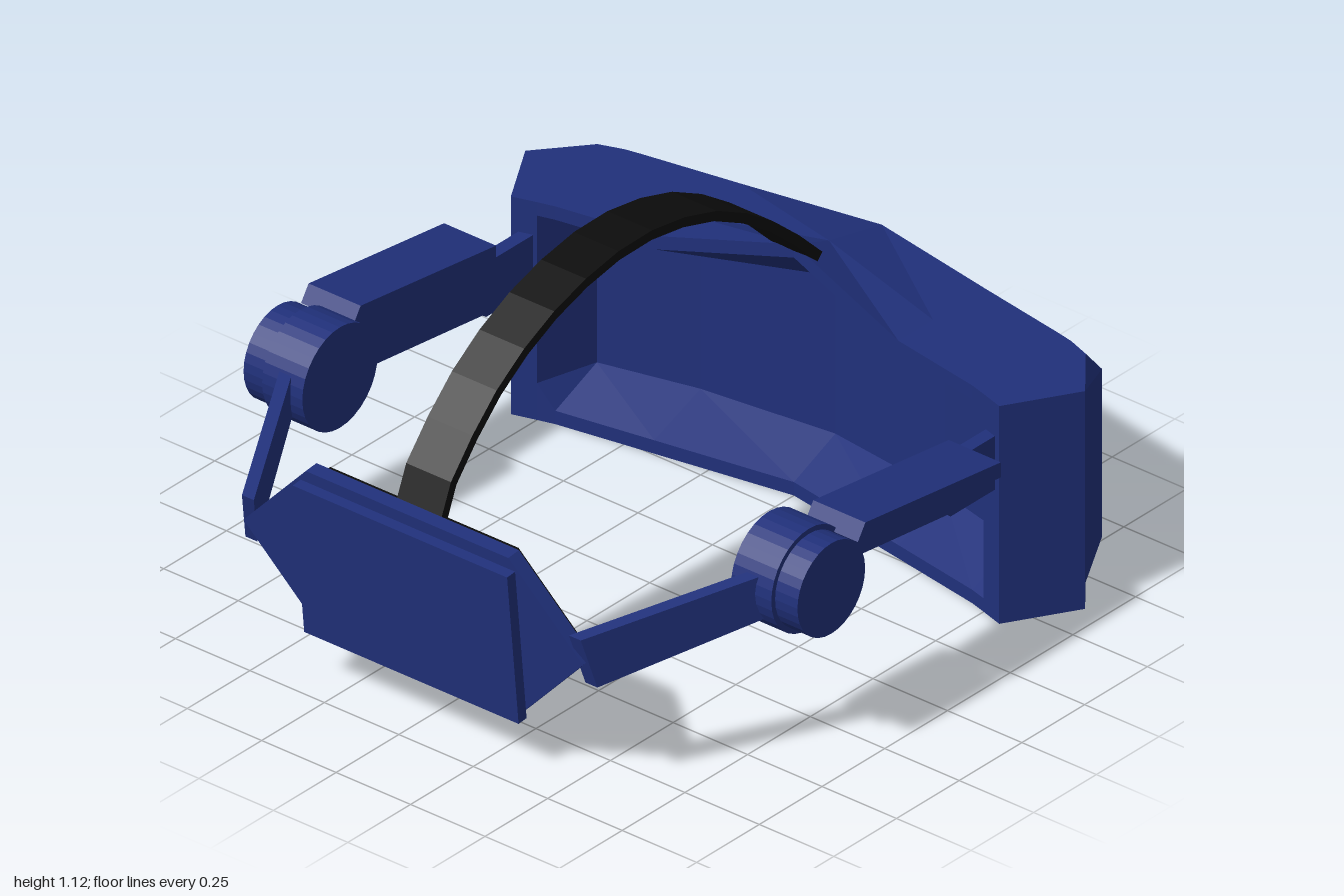
import * as THREE from 'three';

const material = (color) => new THREE.MeshStandardMaterial({ color, flatShading: true });

// Skin cross-sections (each counter-clockwise seen from +z, ordered by rising z).
function loft(sections) {
  const pos = [];
  const tri = (a, b, c) => pos.push(...a, ...b, ...c);
  const n = sections[0].length;
  for (let s = 0; s < sections.length - 1; s++) {
    for (let j = 0; j < n; j++) {
      const k = (j + 1) % n, p = sections[s], q = sections[s + 1];
      tri(p[j], p[k], q[k]);
      tri(p[j], q[k], q[j]);
    }
  }
  return finish(pos);
}

function finish(pos) {
  const g = new THREE.BufferGeometry();
  g.setAttribute('position', new THREE.Float32BufferAttribute(pos, 3));
  g.computeVertexNormals();
  return g;
}

// Flat outline extruded along z from z0 to z1.
function slab(points, z0, z1) {
  const shape = new THREE.Shape(points.map(([x, y]) => new THREE.Vector2(x, y)));
  return new THREE.ExtrudeGeometry(shape, { depth: z1 - z0, bevelEnabled: false }).translate(0, 0, z0);
}

export function createModel() {
  const model = new THREE.Group();
  const blue = material(0x20307a), green = material(0x5cb04f), black = material(0x0c0c0c);
  const add = (name, geometry, mat, parent = model) => {
    const mesh = new THREE.Mesh(geometry, mat);
    mesh.name = name;
    parent.add(mesh);
    return mesh;
  };

  // Visor shell: z, rear x, front x, bevelled front x, cavity floor x, crown height
  const half = [
    [0, 0.575, 0.995, 0.925, 0.74, 0.1],
    [0.41, 0.505, 0.918, 0.85, 0.69, 0],
    [0.7, 0.455, 0.863, 0.8, 0.62, 0],
    [0.75, 0.441, 0.853, 0.79, 0.441, 0],
    [0.82, 0.42, 0.83, 0.765, 0.42, 0],
    [0.94, 0.62, 0.62, 0.62, 0.62, 0],
  ];
  const mirrored = half.slice(1).reverse().map(([z, ...rest]) => [-z, ...rest]);
  const shell = [...mirrored, ...half].map(([z, rear, front, bevel, floor, crown]) => [
    [rear, 0], [bevel, 0], [front, 0.075], [front, 0.575], [bevel, 0.65],
    [rear + 0.4 * (bevel - rear), 0.65 + 0.48 * crown], [rear, 0.65 + crown],
    [rear, 0.61 + crown], [floor, 0.54 + 0.4 * crown], [floor, 0.11], [rear, 0.04],
  ].map(([x, y]) => [x, y, z]));
  add('visorShell', loft(shell), blue);

  // Bent strips following the V of the visor front: half width, y ranges at end and centre
  const faceX = (z) => 0.995 - 0.189 * Math.abs(z);
  const frontStrip = (w, end, mid, proud) => loft([[-w, end], [0, mid], [w, end]].map(([z, [lo, hi]]) => {
    const x1 = faceX(z) + proud, x0 = x1 - 0.02;
    return [[x0, lo, z], [x1, lo, z], [x1, hi, z], [x0, hi, z]];
  }));
  add('frontPanel', frontStrip(0.71, [0.09, 0.565], [0.09, 0.565], 0.004), blue);
  add('frontChevron', frontStrip(0.64, [0.475, 0.505], [0.29, 0.38], 0.007), green);

  // Side arms and hinges
  for (const s of [1, -1]) {
    const arm = new THREE.Group();
    arm.name = s > 0 ? 'armPositiveZ' : 'armNegativeZ';
    model.add(arm);
    const side = (points, a, b) => slab(points, Math.min(s * a, s * b), Math.max(s * a, s * b));

    add('frontArm', side([[-0.38, 0.47], [0.24, 0.4], [0.25, 0.39], [0.46, 0.39],
      [0.46, 0.55], [0.29, 0.55], [0.29, 0.54], [-0.38, 0.62]], 0.76, 0.8), blue, arm);
    add('armTopRail', side([[-0.28, 0.605], [0.29, 0.54], [0.29, 0.585], [-0.25, 0.65]], 0.76, 0.935), blue, arm);

    // Rear arm slants inwards towards the back plate
    const rear = side([[-0.95, 0.475], [-0.91, 0.325], [-0.46, 0.445], [-0.46, 0.572]], 0.76, 0.8);
    const p = rear.attributes.position;
    for (let i = 0; i < p.count; i++) p.setZ(i, p.getZ(i) + s * (p.getX(i) + 0.53) * 0.55);
    rear.computeVertexNormals();
    add('rearArm', rear, blue, arm);

    for (const [name, r, a, b] of [['hingeDrum', 0.15, 0.72, 0.855], ['hingeCap', 0.135, 0.855, 0.93]]) {
      const disc = new THREE.CylinderGeometry(r, r, b - a, 32).rotateX(Math.PI / 2);
      add(name, disc.translate(-0.38, 0.51, s * (a + b) / 2), blue, arm);
    }
  }

  // Tilted hexagonal back rest
  const back = new THREE.Group();
  back.name = 'backRest';
  back.position.set(-0.925, 0.4, 0);
  back.rotation.z = 0.1;
  model.add(back);
  const hexagon = (k, x0, x1) => slab([[0.57, 0], [0.34, 0.245], [-0.34, 0.245],
    [-0.57, 0], [-0.34, -0.245], [0.34, -0.245]].map(([x, y]) => [x * k, y * k]), x0, x1).rotateY(Math.PI / 2);
  add('backPlate', hexagon(1, -0.018, 0.025), blue, back);
  add('backPad', hexagon(0.93, 0.025, 0.05), black, back);
  add('backCover', new THREE.BoxGeometry(0.032, 0.46, 0.72).translate(-0.034, -0.02, 0), blue, back);

  // Arched head strap
  const curve = new THREE.SplineCurve([[-0.92, 0.6], [-0.87, 0.72], [-0.67, 0.925], [-0.42, 1.055],
    [-0.13, 1.105], [0.16, 1.05], [0.4, 0.91], [0.59, 0.735]].map(([x, y]) => new THREE.Vector2(x, y)));
  const outer = [], inner = [];
  for (let i = 0; i <= 14; i++) {
    const c = curve.getPointAt(i / 14), t = curve.getTangentAt(i / 14);
    outer.push([c.x - t.y * 0.014, c.y + t.x * 0.014]);
    inner.unshift([c.x + t.y * 0.014, c.y - t.x * 0.014]);
  }
  add('headStrap', slab([...outer, ...inner], -0.075, 0.075), black);

  return model;
}
